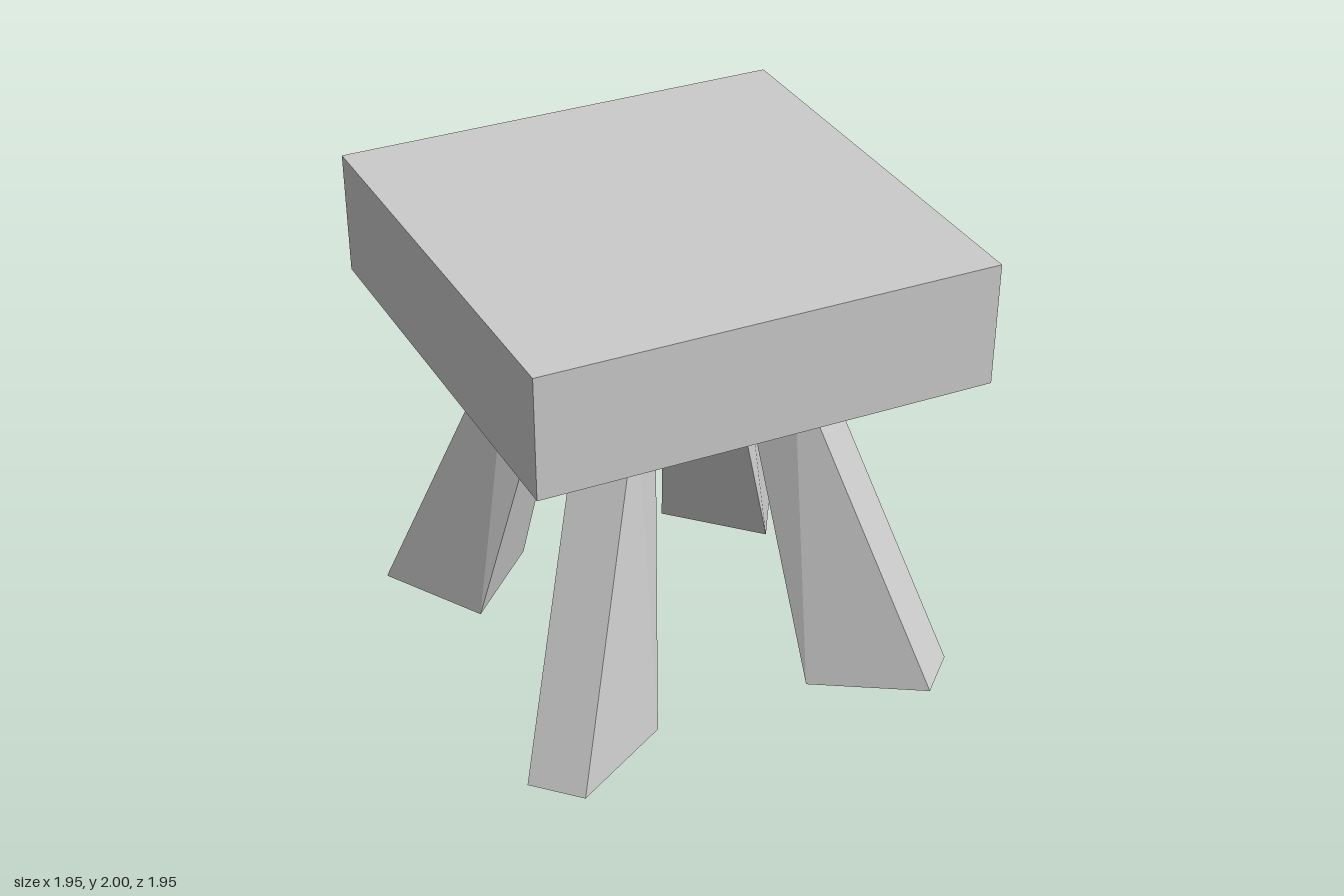
import * as THREE from 'three';

const solid = new THREE.MeshStandardMaterial({ color: 0xcccccc, flatShading: true });
const shell = new THREE.MeshStandardMaterial({ color: 0xcccccc, flatShading: true, side: THREE.DoubleSide });

// Seat: thin shell, open underneath, very slightly skewed and tapered
function makeSeat() {
  const bottom = 1.47, top = 2, half = 0.965, skew = 0.0075;
  const geo = new THREE.BoxGeometry(2 * half, top - bottom, 2 * half);
  const faces = Array.from(geo.index.array);
  faces.splice(18, 6); // drop the underside
  geo.setIndex(faces);
  geo.clearGroups();
  const p = geo.attributes.position;
  for (let i = 0; i < p.count; i++) {
    const k = p.getY(i) > 0 ? 1.003 : 0.998;
    const x = p.getX(i) * k, z = p.getZ(i) * k;
    p.setXYZ(i, x + skew * z, p.getY(i) + (top + bottom) / 2, z + skew * x);
  }
  geo.computeVertexNormals();
  const seat = new THREE.Mesh(geo, shell);
  seat.name = 'seat';
  return seat;
}

// Leg: wedge-shaped foot rising to a square top, splayed along the diagonal
function makeLegGeometry() {
  const foot = [[0.345, 0.70], [0.79, 0.965], [0.965, 0.79], [0.70, 0.345]];
  const head = [[0.185, 0.345], [0.345, 0.51], [0.51, 0.345], [0.345, 0.185]];
  const points = [
    ...foot.map(([x, z]) => [x, 0, z]),
    ...head.map(([x, z]) => [x, 1.46, z]),
  ];
  const index = [
    0, 1, 5, 0, 5, 4, // side
    1, 2, 6, 1, 6, 5, // outer face
    2, 3, 6, 3, 7, 6, // side
    3, 0, 4, 3, 4, 7, // inner face
    4, 5, 6, 4, 6, 7, // top
    0, 2, 1, 0, 3, 2, // sole
  ];
  const geo = new THREE.BufferGeometry();
  geo.setAttribute('position', new THREE.Float32BufferAttribute(points.flat(), 3));
  geo.setIndex(index);
  const flat = geo.toNonIndexed();
  flat.computeVertexNormals();
  return flat;
}

export function createModel() {
  const model = new THREE.Group();
  model.name = 'stool';
  model.add(makeSeat());

  // Four legs, turned in quarter steps
  const legGeometry = makeLegGeometry();
  ['frontLeftLeg', 'backLeftLeg', 'backRightLeg', 'frontRightLeg'].forEach((name, i) => {
    const leg = new THREE.Mesh(legGeometry, solid);
    leg.name = name;
    leg.rotation.y = i * Math.PI / 2;
    model.add(leg);
  });
  return model;
}
